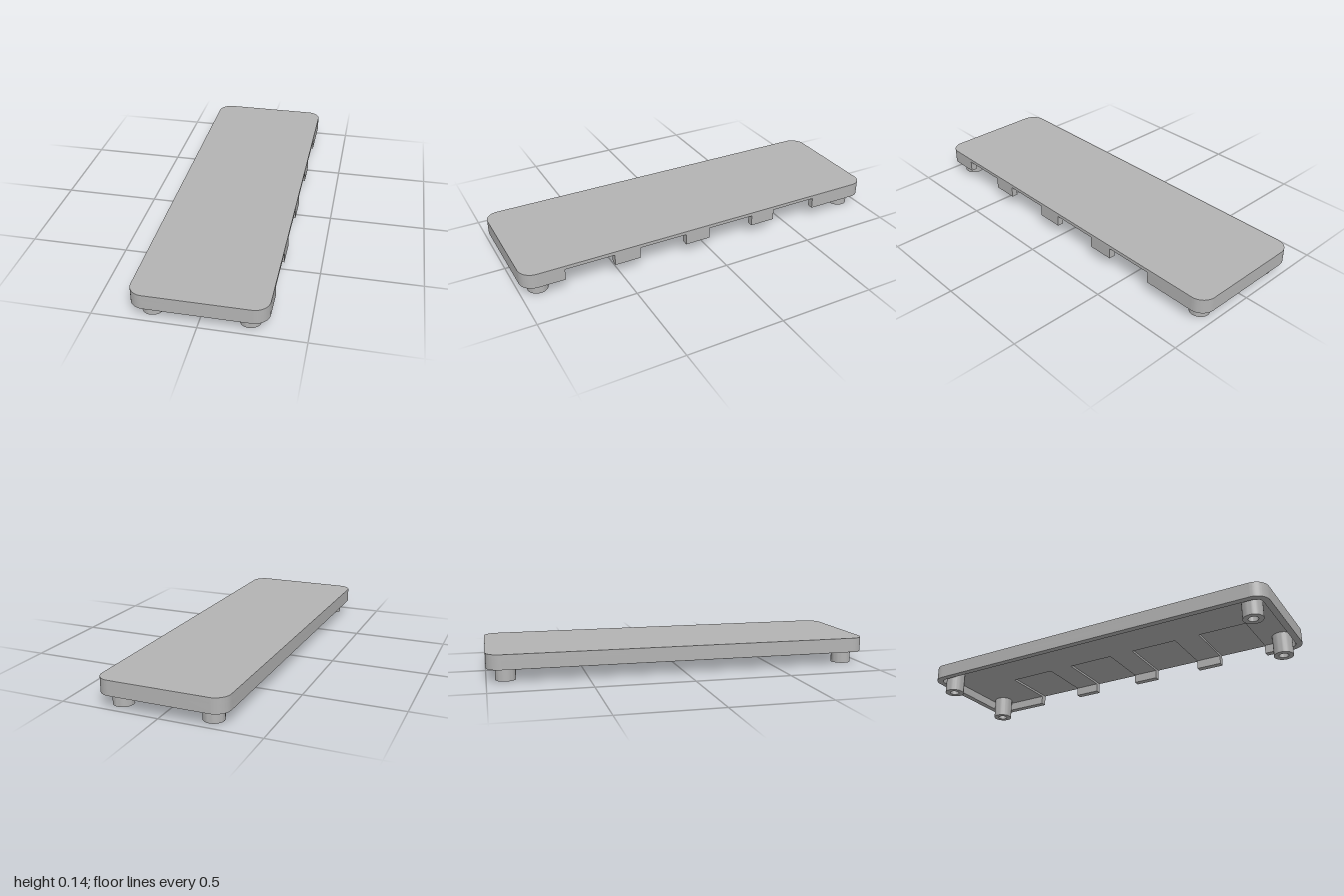
import * as THREE from 'three';
import { toCreasedNormals } from 'three/addons/utils/BufferGeometryUtils.js';

// half width, half length, corner radius and wall thickness of the tray
const W = 0.323, L = 1, R = 0.073, T = 0.033;
// heights: rim, underside of plate, ceiling of pockets, top
const RIM = 0.067, UNDER = 0.113, CEIL = 0.125, TOP = 0.143;
// side openings along the +x wall (shape y is -z), and how far pockets reach in
const NOTCHES = [-0.79, -0.395, 0, 0.395].map((a) => [a, a + 0.258]);
const POCKET_X = 0;

const gray = new THREE.MeshStandardMaterial({ color: 0xb3b3b3 });
gray.name = 'gray plastic';

// the four rounded corners, counter-clockwise from +x +y, or reversed
function corners(shape, w, l, r, reversed = false) {
  const list = [[1, 1, 0], [-1, 1, 1], [-1, -1, 2], [1, -1, 3]];
  if (reversed) list.reverse();
  for (const [sx, sy, q] of list) {
    const a = q * Math.PI / 2, b = a + Math.PI / 2;
    shape.absarc(sx * (w - r), sy * (l - r), r, reversed ? b : a, reversed ? a : b, reversed);
  }
}

function plateShape(withPockets) {
  const s = new THREE.Shape().moveTo(W, -L + R);
  if (withPockets) {
    for (const [a, b] of NOTCHES) s.lineTo(W, a).lineTo(POCKET_X, a).lineTo(POCKET_X, b).lineTo(W, b);
  }
  s.lineTo(W, L - R);
  corners(s, W, L, R);
  return s;
}

function rectShape(x0, x1, y0, y1) {
  return new THREE.Shape().moveTo(x0, y0).lineTo(x1, y0).lineTo(x1, y1).lineTo(x0, y1);
}

// wall running round the tray from the last opening to the first
function wallShape() {
  const first = NOTCHES[0][0], last = NOTCHES[3][1];
  const s = new THREE.Shape().moveTo(W, last).lineTo(W, L - R);
  corners(s, W, L, R);
  s.lineTo(W, first).lineTo(W - T, first).lineTo(W - T, -L + R);
  corners(s, W - T, L - T, R - T, true);
  s.lineTo(W - T, last);
  return s;
}

// extrude upward, keeping only the wanted faces
function layer(shape, y0, y1, { sides = true, bottom = false, top = false }) {
  const g = new THREE.ExtrudeGeometry(shape, { depth: y1 - y0, bevelEnabled: false, curveSegments: 10 });
  g.rotateX(-Math.PI / 2).translate(0, y0, 0);
  const p = g.attributes.position.array, lids = g.groups[0].count * 3;
  const kept = [];
  if (bottom) kept.push(...p.slice(0, lids / 2));
  if (top) kept.push(...p.slice(lids / 2, lids));
  if (sides) kept.push(...p.slice(lids));
  return kept;
}

function mesh(name, positions) {
  const g = new THREE.BufferGeometry();
  g.setAttribute('position', new THREE.Float32BufferAttribute(positions, 3));
  g.computeVertexNormals();
  const m = new THREE.Mesh(toCreasedNormals(g, 0.5), gray);
  m.name = name;
  return m;
}

export function createModel() {
  const group = new THREE.Group();
  group.name = 'tray';

  // top plate with pockets cut into its underside
  const plate = [
    ...layer(plateShape(false), CEIL, TOP, { top: true }),
    ...layer(plateShape(true), UNDER, CEIL, { bottom: true }),
  ];
  for (const [a, b] of NOTCHES) {
    plate.push(...layer(rectShape(POCKET_X, W, a, b), CEIL, TOP, { sides: false, bottom: true }));
  }
  group.add(mesh('plate', plate));

  // outer wall, and the posts left between the openings
  group.add(mesh('wall', layer(wallShape(), RIM, UNDER, { bottom: true })));
  for (let i = 0; i < 3; i++) {
    const post = rectShape(W - T, W, NOTCHES[i][1], NOTCHES[i + 1][0]);
    group.add(mesh('wallPost', layer(post, RIM, UNDER, { bottom: true })));
  }

  // hollow feet
  const profile = [[0.025, UNDER], [0.025, 0], [0.051, 0], [0.051, UNDER]]
    .map(([x, y]) => new THREE.Vector2(x, y));
  const footGeometry = toCreasedNormals(new THREE.LatheGeometry(profile, 40), 0.5);
  for (const x of [-0.229, 0.229]) {
    for (const z of [-0.905, 0.905]) {
      const foot = new THREE.Mesh(footGeometry, gray);
      foot.name = 'foot';
      foot.position.set(x, 0, z);
      group.add(foot);
    }
  }
  return group;
}
